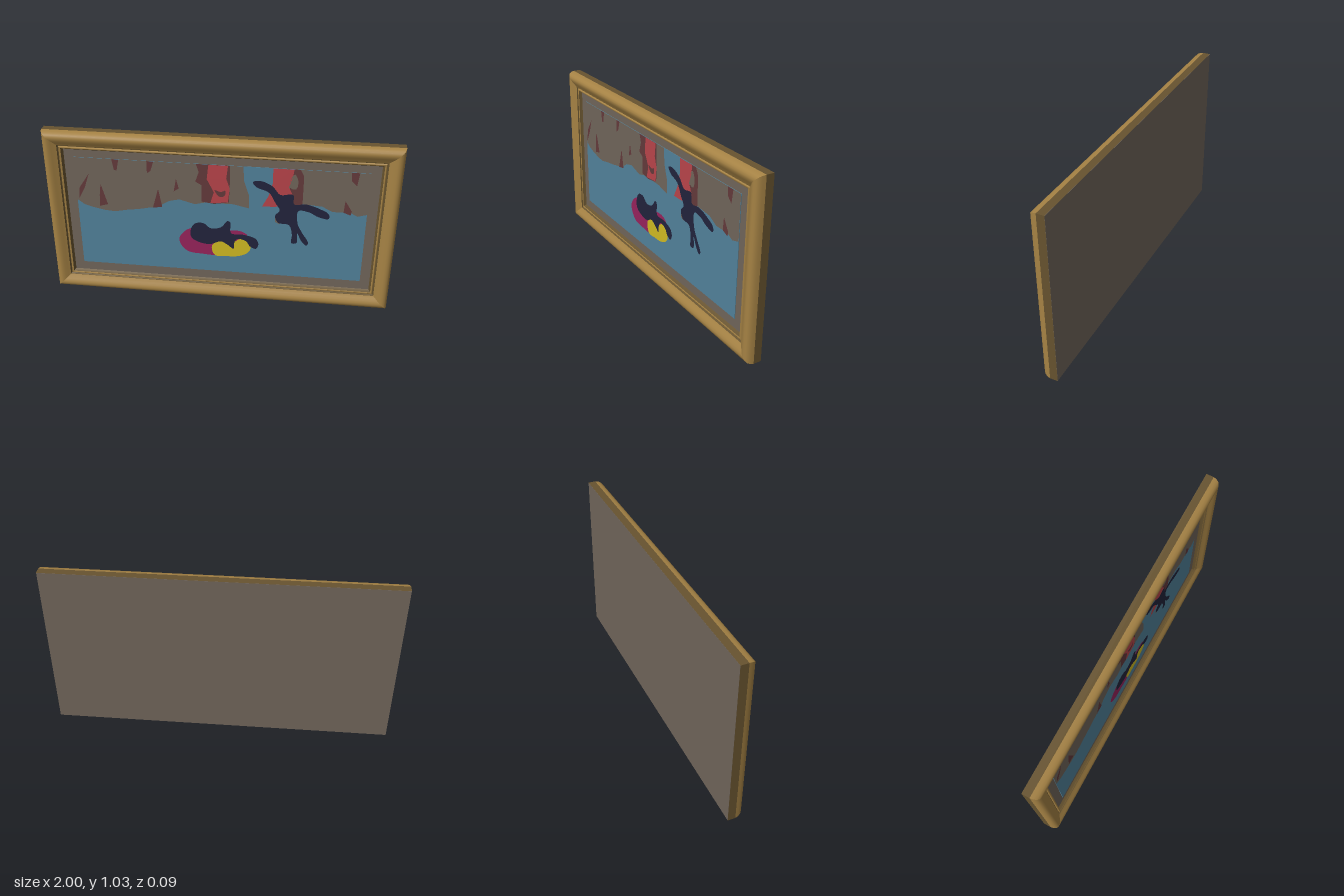
import * as THREE from 'three';

const mat = (name, color) => new THREE.MeshStandardMaterial({ name, color });
const M = {
  gold: mat('gold', 0xa58244),
  dark: mat('darkBronze', 0x67532f),
  taupe: mat('taupe', 0x70655a),
  blue: mat('waterBlue', 0x51829b),
  red: mat('red', 0xb8444a),
  maroon: mat('maroon', 0x643a3b),
  magenta: mat('magenta', 0x97235c),
  yellow: mat('yellow', 0xd0ba22),
  navy: mat('navy', 0x22233c),
};
const H = 1.03, BACK = -0.045, FACE = 0.003;

// One moulding band: a profile of [inset, z] points swept along the four mitred sides
function band(name, material, profile) {
  const group = new THREE.Group();
  group.name = name;
  const corners = [[-1, -1], [1, -1], [1, 1], [-1, 1]];
  for (let s = 0; s < 4; s++) {
    const pos = [], idx = [];
    profile.forEach(([d, z], i) => {
      for (const [cx, cy] of [corners[s], corners[(s + 1) % 4]]) {
        pos.push(cx * (1 - d), H / 2 + cy * (H / 2 - d), z);
      }
      if (i) {
        const a = 2 * i - 2;
        idx.push(a, a + 1, a + 3, a, a + 3, a + 2);
      }
    });
    const geo = new THREE.BufferGeometry();
    geo.setAttribute('position', new THREE.Float32BufferAttribute(pos, 3));
    geo.setIndex(idx);
    geo.computeVertexNormals();
    const mesh = new THREE.Mesh(geo, material);
    mesh.name = name + ['Bottom', 'Right', 'Top', 'Left'][s];
    group.add(mesh);
  }
  return group;
}

// Flat painted patch; points are in hundredths of a unit, layer sets the stacking order
function patch(name, material, layer, pts, smooth = false) {
  let v = pts.map(([x, y]) => new THREE.Vector2(x / 100, y / 100));
  if (smooth) {
    const c = new THREE.CatmullRomCurve3(v.map(p => new THREE.Vector3(p.x, p.y, 0)), true, 'centripetal');
    v = c.getPoints(pts.length * 5).slice(0, -1).map(p => new THREE.Vector2(p.x, p.y));
  }
  const mesh = new THREE.Mesh(new THREE.ShapeGeometry(new THREE.Shape(v)), material);
  mesh.name = name;
  mesh.position.z = FACE + layer * 0.001;
  return mesh;
}

export function createModel() {
  const model = new THREE.Group();
  model.name = 'framedPainting';

  // Backing board, whose front shows as the mount around the painting
  const board = new THREE.Mesh(new THREE.BoxGeometry(1.998, H - 0.002, 0.045), M.taupe);
  board.name = 'backingBoard';
  board.position.set(0, H / 2, BACK / 2);
  model.add(board);

  // Frame moulding from the outer edge inwards
  const frame = new THREE.Group();
  frame.name = 'frame';
  frame.add(
    band('outerEdge', M.dark, [[0, BACK], [0, 0]]),
    band('cushion', M.gold, [[0, 0], [0.003, 0.018], [0.009, 0.032], [0.018, 0.041], [0.03, 0.045],
      [0.042, 0.044], [0.056, 0.038], [0.07, 0.029], [0.084, 0.022]]),
    band('groove', M.dark, [[0.084, 0.022], [0.087, 0.012], [0.092, 0.012]]),
    band('innerBead', M.gold, [[0.092, 0.012], [0.094, 0.018], [0.098, 0.02], [0.104, 0.017]]),
    band('innerLip', M.dark, [[0.104, 0.017], [0.108, 0.008], [0.114, 0.0]]),
  );
  model.add(frame);

  const art = new THREE.Group();
  art.name = 'painting';
  model.add(art);
  const add = (...a) => art.add(patch(...a));

  // Canvas and shore
  const canvas = new THREE.Mesh(new THREE.BoxGeometry(1.66, 0.7, 0.004), M.blue);
  canvas.name = 'canvas';
  canvas.position.set(0, 0.52, FACE - 0.002);
  art.add(canvas);
  add('leftShore', M.taupe, 1, [[-83, 87], [-83, 60], [-79, 57], [-74, 55.5], [-67, 54], [-61, 53.5], [-54, 55],
    [-47, 56], [-40, 57.5], [-36, 58], [-29, 62.5], [-23, 64], [-14, 61.5], [-8, 63], [0, 63], [8, 63], [17, 61],
    [17, 69], [14, 78], [13.5, 87]]);
  add('rightShore', M.taupe, 1, [[38, 87], [83, 87], [83, 61.5], [78, 60], [74, 62], [64, 62], [58, 65], [45, 66], [38, 72]]);

  // Tree trunks
  add('leftTrunkShade', M.maroon, 2, [[-13, 87], [-5, 87], [6, 87], [6, 73], [5.5, 64], [-3, 62.5], [-10, 63.5],
    [-10, 74], [-13.5, 76], [-11.5, 82]]);
  add('leftTrunk', M.red, 3, [[-6, 87], [5, 87], [4, 79], [6, 73], [5, 64], [-5, 63], [-3, 70], [-7, 78]]);
  add('trunkKnot', M.maroon, 4, [[-2.5, 71.5], [1, 70.5], [3.5, 71.5], [3, 68], [0, 67.5]], true);
  add('rightTrunkShade', M.maroon, 2, [[40, 87], [45, 87], [47, 83], [47, 62], [43, 64], [38, 68], [40, 77]]);
  add('rightTrunkHollow', M.taupe, 3, [[42, 84], [44, 80], [43, 75], [40, 75.5], [39.5, 80]], true);
  add('rightTrunk', M.red, 3, [[30, 87], [41.5, 87], [41, 82], [39, 76], [42, 70], [36, 64], [31, 63], [24.5, 63],
    [28, 70], [30, 78]]);

  // Distant tree marks
  const marks = [
    [[-75, 77], [-78, 68], [-82, 60.5], [-81, 68]],
    [[-68.5, 71], [-65, 58], [-70, 56.5], [-69.5, 64]],
    [[-61, 87], [-57, 87], [-58.5, 80], [-60, 80.5]],
    [[-41, 87], [-37, 87], [-39, 81], [-41, 79.5]],
    [[-35, 70], [-33, 58.5], [-38.5, 57.5]],
    [[-24.5, 77], [-23, 71], [-26, 69]],
    [[72.5, 87], [77, 87], [76, 79], [73, 82]],
    [[70.5, 69.5], [74.5, 63], [74, 60.5], [70, 62]],
  ];
  marks.forEach((m, i) => add('treeMark' + (i + 1), M.maroon, 2, m));

  // Floating ring and the swimmer lying on it
  add('ringBack', M.magenta, 2, [[-23.5, 38], [-20.5, 43], [-15, 46], [0, 45], [13, 45.5], [17, 42], [12, 35],
    [0, 28.5], [-10, 28.5], [-18, 29.5], [-22, 33]], true);
  add('ringFront', M.yellow, 3, [[-4, 35], [1, 39], [8, 38], [13, 40.5], [18.5, 36], [17, 31.5], [11, 28.5], [4, 28],
    [-2, 28], [-4, 31]], true);
  add('swimmer', M.navy, 4, [[-16, 39], [-16.5, 45], [-14, 49], [-9, 49.5], [-5, 46.5], [1, 47.5], [5, 52], [6.5, 51],
    [7, 44], [14, 43.5], [21, 41.5], [23, 38], [21.5, 34.5], [18, 36], [16, 39], [11, 40.5], [9, 38], [8.5, 33.5],
    [5, 36], [1, 38], [-6, 35.5]], true);

  // Leaping diver
  add('diverShirt', M.taupe, 4, [[32, 57], [36, 57], [34.5, 52], [32, 53.5]]);
  add('diver', M.navy, 5, [[19, 78], [23, 79], [30, 76], [34.5, 71], [41.5, 71.5], [42.5, 65.5], [49, 66], [57, 63.5],
    [62, 60.5], [62, 57.5], [56, 58.5], [51, 61], [45, 61.5], [45, 53], [48, 47], [51.5, 41], [50.5, 39], [47.5, 42],
    [45, 47], [45, 40.5], [42, 40], [42, 46], [40, 52], [34, 53], [32, 57.5], [34.5, 61], [32, 65.5], [28, 72],
    [21, 75]], true);

  return model;
}
